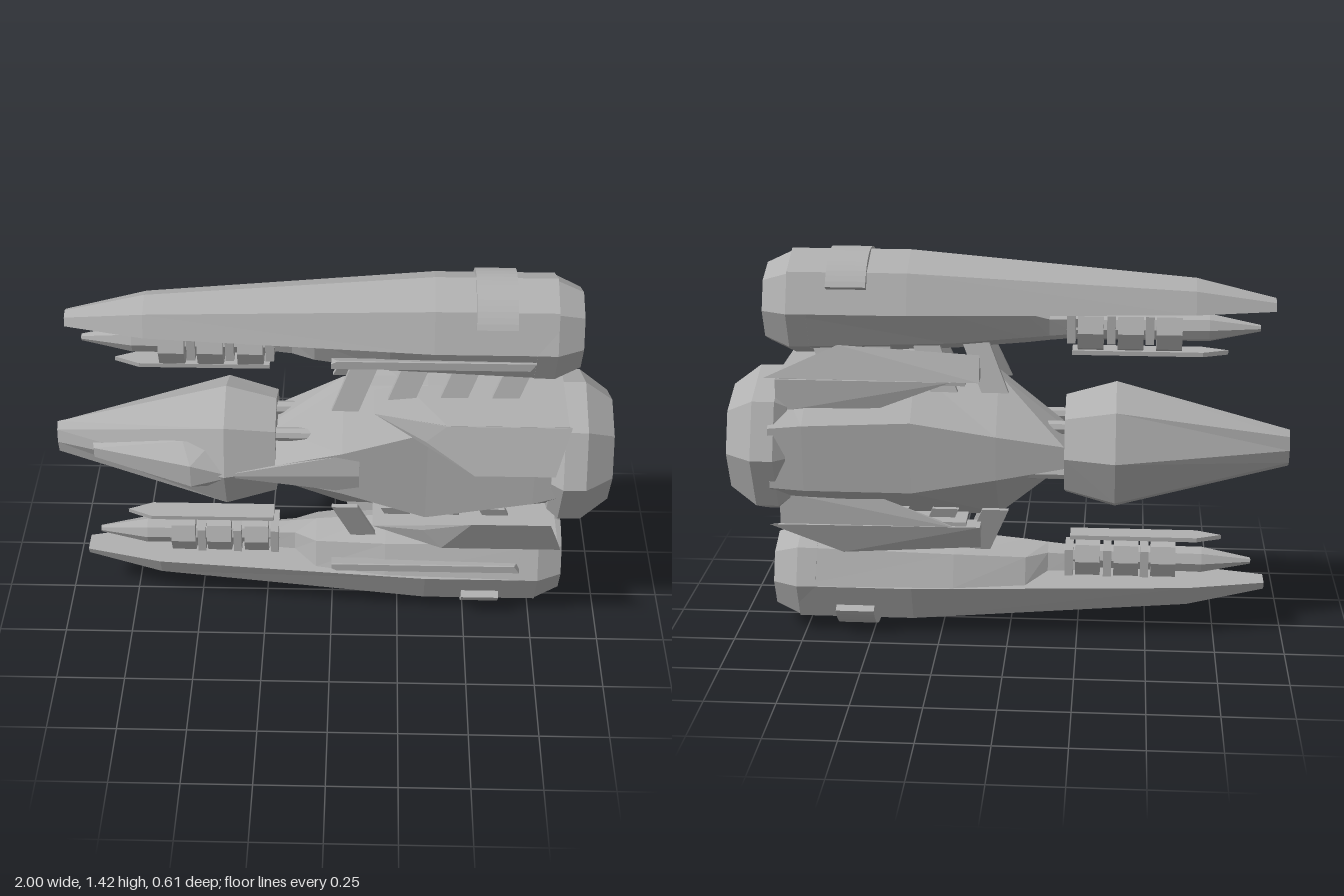
import * as THREE from 'three';
import { ConvexGeometry } from 'three/addons/geometries/ConvexGeometry.js';

const MID = 0.71;   // height of the mirror plane
const CZ = -0.03;   // depth of the long axis
const POD = 1.22;   // height of the upper engine pod

// Skin of cross-sections along x: each section is [x, [[y, z], ...]].
// tipA and tipB give the x of the centre of each end cap.
function loft(sections, tipA, tipB) {
  const out = [];
  const rings = sections.map(([x, pts]) => pts.map(([y, z]) => [x, y, z]));
  const n = rings[0].length;
  const tri = (a, b, c) => out.push(...a, ...b, ...c);
  for (let s = 0; s + 1 < rings.length; s++) {
    for (let i = 0; i < n; i++) {
      const j = (i + 1) % n, a = rings[s], b = rings[s + 1];
      tri(a[i], a[j], b[j]);
      tri(a[i], b[j], b[i]);
    }
  }
  const cap = (ring, x, flip) => {
    const c = [0, 0, 0];
    ring.forEach((p) => p.forEach((v, k) => { c[k] += v / n; }));
    if (x !== undefined) c[0] = x;
    ring.forEach((p, i) => {
      const q = ring[(i + 1) % n];
      if (flip) tri(c, q, p); else tri(c, p, q);
    });
  };
  cap(rings[0], tipA, true);
  cap(rings[rings.length - 1], tipB, false);
  const g = new THREE.BufferGeometry();
  g.setAttribute('position', new THREE.Float32BufferAttribute(out, 3));
  return g;
}

// Octagonal arc of eighth-turn steps; 0 is up.
function arc(from, count, y, ry, rz = ry) {
  return Array.from({ length: count }, (_, i) => {
    const a = (from + i) * Math.PI / 4;
    return [y + ry * Math.cos(a), CZ + rz * Math.sin(a)];
  });
}
const octagon = (y, ry, rz) => arc(0, 8, y, ry, rz);

const convex = (points) => new ConvexGeometry(points.map((p) => new THREE.Vector3(...p)));

function box(w, h, d, x, y, z) {
  return new THREE.BoxGeometry(w, h, d).translate(x, y, z);
}

// Mirror across the horizontal mid plane, keeping faces outward.
function mirrored(geometry) {
  const g = geometry.clone(), p = g.attributes.position;
  for (let i = 0; i < p.count; i++) p.setY(i, 2 * MID - p.getY(i));
  for (let i = 0; i < p.count; i += 3) {
    const b = [p.getX(i + 1), p.getY(i + 1), p.getZ(i + 1)];
    p.setXYZ(i + 1, p.getX(i + 2), p.getY(i + 2), p.getZ(i + 2));
    p.setXYZ(i + 2, ...b);
  }
  return g;
}

export function createModel() {
  const model = new THREE.Group();
  model.name = 'spacecraft';
  const grey = new THREE.MeshStandardMaterial({ color: 0xb0b0b0, flatShading: true });
  grey.name = 'hull grey';

  const put = (name, g) => {
    g.computeVertexNormals();
    const mesh = new THREE.Mesh(g, grey);
    mesh.name = name;
    model.add(mesh);
  };
  const addPair = (name, geometry) => {
    const g = geometry.index ? geometry.toNonIndexed() : geometry;
    put('upper ' + name, g);
    put('lower ' + name, mirrored(g));
  };

  // Nose with a hollow tip
  put('nose', loft([
    [-0.97, octagon(MID, 0.045, 0.022)],
    [-1, octagon(MID, 0.055, 0.028)],
    [-1, octagon(MID, 0.068, 0.036)],
    [-0.38, octagon(MID, 0.237, 0.232)],
    [-0.2, octagon(MID, 0.185)],
    [-0.2, octagon(MID, 0.15)],
  ], undefined, -0.24));

  // Raised canopy on the front of the nose
  const canopy = [];
  for (const s of [1, -1]) {
    canopy.push([-0.87, MID + s * 0.035, 0.02], [-0.86, MID + s * 0.02, 0.065],
      [-0.53, MID + s * 0.1, 0.12], [-0.43, MID + s * 0.095, 0.13],
      [-0.5, MID + s * 0.045, 0.197], [-0.38, MID + s * 0.01, 0.195]);
  }
  put('canopy', convex(canopy));

  // Neck tubes between the nose and the hull
  for (const z of [CZ + 0.08, CZ - 0.08]) {
    addPair('neckTube', new THREE.CylinderGeometry(0.025, 0.025, 0.3, 8)
      .rotateZ(Math.PI / 2).translate(-0.12, MID + 0.085, z));
  }

  // Hull: narrow front and back plates joined by sloping sides
  const hullRing = (zf, a, h, zb, b) => [
    [MID + h, CZ + 0.03], [MID + a, zf], [MID - a, zf],
    [MID - h, CZ + 0.03], [MID - h, CZ - 0.03], [MID - b, zb], [MID + b, zb], [MID + h, CZ - 0.03],
  ];
  put('hull', loft([
    [-0.2, hullRing(0.165, 0.03, 0.07, -0.2, 0.04)],
    [0.04, hullRing(0.17, 0.09, 0.265, -0.225, 0.08)],
    [0.34, hullRing(0.175, 0.19, 0.275, -0.24, 0.13)],
    [0.72, hullRing(0.2, 0.1, 0.265, -0.265, 0.12)],
    [0.84, hullRing(0.2, 0.06, 0.25, -0.27, 0.11)],
  ]));
  put('hullSpear', convex([
    [-0.4, MID, 0.192], [-0.2, MID + 0.035, 0.17], [-0.2, MID - 0.035, 0.17],
    [-0.2, MID, 0.13], [0.1, MID, 0.182], [0.1, MID + 0.09, 0.165], [0.1, MID - 0.09, 0.165],
  ]));

  // Main engine with a recessed cone
  put('mainEngine', loft([
    [0.78, octagon(MID, 0.24)],
    [0.82, octagon(MID, 0.275)],
    [0.9, octagon(MID, 0.275)],
    [1, octagon(MID, 0.2)],
    [0.985, octagon(MID, 0.177)],
  ], undefined, 0.9));

  // Folded wings and rear fins
  addPair('wingDeck', convex([
    [0.15, 0.965, 0.15], [0.4, 0.985, 0.24], [0.82, 0.985, 0.24], [0.82, 0.965, 0.24],
    [0.4, 0.965, 0.24], [0.15, 0.965, -0.19], [0.82, 0.985, -0.19], [0.82, 0.965, -0.19],
    [0.15, 0.98, -0.19],
  ]));
  addPair('wingBlade', convex([
    [0.15, 0.965, 0.15], [0.4, 0.985, 0.245], [0.83, 0.985, 0.245], [0.33, 0.91, 0.235],
    [0.5, 0.82, 0.308], [0.78, 0.82, 0.308], [0.82, 0.97, 0.21], [0.4, 0.965, 0.21],
  ]));
  addPair('rearFin', convex([
    [0.86, 0.985, -0.2], [0.1, 0.98, -0.2], [0.1, 0.98, -0.12],
    [0.1, 1.07, -0.16], [0.6, 1.1, -0.165], [0.6, 0.98, -0.12],
  ]));
  addPair('rearSkirt', convex([
    [0.2, 0.98, -0.2], [0.82, 0.98, -0.2], [0.82, 0.86, -0.2], [0.45, 0.88, -0.19],
    [0.2, 0.98, -0.18], [0.82, 0.98, -0.18], [0.82, 0.86, -0.19],
  ]));

  // Slanted pylon struts in two rows
  for (let i = 0; i < 4; i++) {
    const x = 0.03 + i * 0.18;
    for (const s of [1, -1]) {
      const strut = [];
      for (const [y, dx, dz] of [[0.93, -0.03, 0.1], [1.1, 0.04, 0.055]]) {
        for (const w of [0, 0.095]) {
          for (const t of [0, 0.02]) strut.push([x + dx + w, y, CZ + s * (dz + t)]);
        }
      }
      addPair('pylonStrut', convex(strut));
    }
  }

  // Engine pods: upper cowl, inner cowl and nozzle
  const cowl = (x, r, w = r) => [x, arc(-2, 5, POD, r, w)];
  addPair('podCowl', loft([
    cowl(-0.93, 0.04), cowl(-0.65, 0.108), cowl(0.35, 0.195, 0.183), cowl(0.77, 0.195, 0.183),
  ]));
  const belly = (x, y, r, w) => [x, arc(2, 5, y, r, w)];
  addPair('podBelly', loft([
    belly(-0.24, 1.185, 0.08, 0.05), belly(-0.14, 1.185, 0.09, 0.06), belly(-0.06, POD, 0.135, 0.12),
    belly(0.2, POD, 0.16, 0.165), belly(0.77, POD, 0.185, 0.183),
  ]));
  addPair('podNozzle', loft([
    [0.7, octagon(POD, 0.183)],
    [0.77, octagon(POD, 0.185)],
    [0.86, octagon(POD, 0.142)],
    [0.86, octagon(POD, 0.125)],
    [0.84, octagon(POD, 0.105)],
  ], undefined, 0.77));

  // Strap over the rear of each pod
  const strap = new THREE.Shape();
  strap.absarc(0, 0, 0.2, Math.PI * 0.16, Math.PI * 0.84, false);
  strap.absarc(0, 0, 0.165, Math.PI * 0.84, Math.PI * 0.16, true);
  addPair('podStrap', new THREE.ExtrudeGeometry(strap, { depth: 0.14, bevelEnabled: false, curveSegments: 10 })
    .rotateY(Math.PI / 2).translate(0.49, POD, CZ));

  // Side rail, forward spike, rings and guard plate
  addPair('podRail', convex([0.145, 0.152].flatMap((z) => [
    [0, 1.155, z], [0.02, 1.185, z], [0.7, 1.185, z], [0.68, 1.155, z], [0, 1.175, z],
  ]).concat([[0, 1.165, 0.1], [0.7, 1.165, 0.1]])));
  addPair('spike', loft([
    [-0.88, octagon(1.15, 0.012)], [-0.7, octagon(1.15, 0.05)], [-0.2, octagon(1.145, 0.045)],
  ]));
  for (const x of [-0.56, -0.425, -0.285]) {
    addPair('spikeRing', loft([
      [x - 0.045, octagon(1.14, 0.082)], [x + 0.045, octagon(1.14, 0.082)],
    ]));
    addPair('spikeClamp', box(0.03, 0.1, 0.13, x + 0.068, 1.15, CZ));
  }
  addPair('guardPlate', convex([1.052, 1.068].flatMap((y) => [
    [-0.77, y, CZ], [-0.68, y, CZ + 0.04], [-0.68, y, CZ - 0.04],
    [-0.22, y, CZ + 0.04], [-0.22, y, CZ - 0.04],
  ])));

  return model;
}
